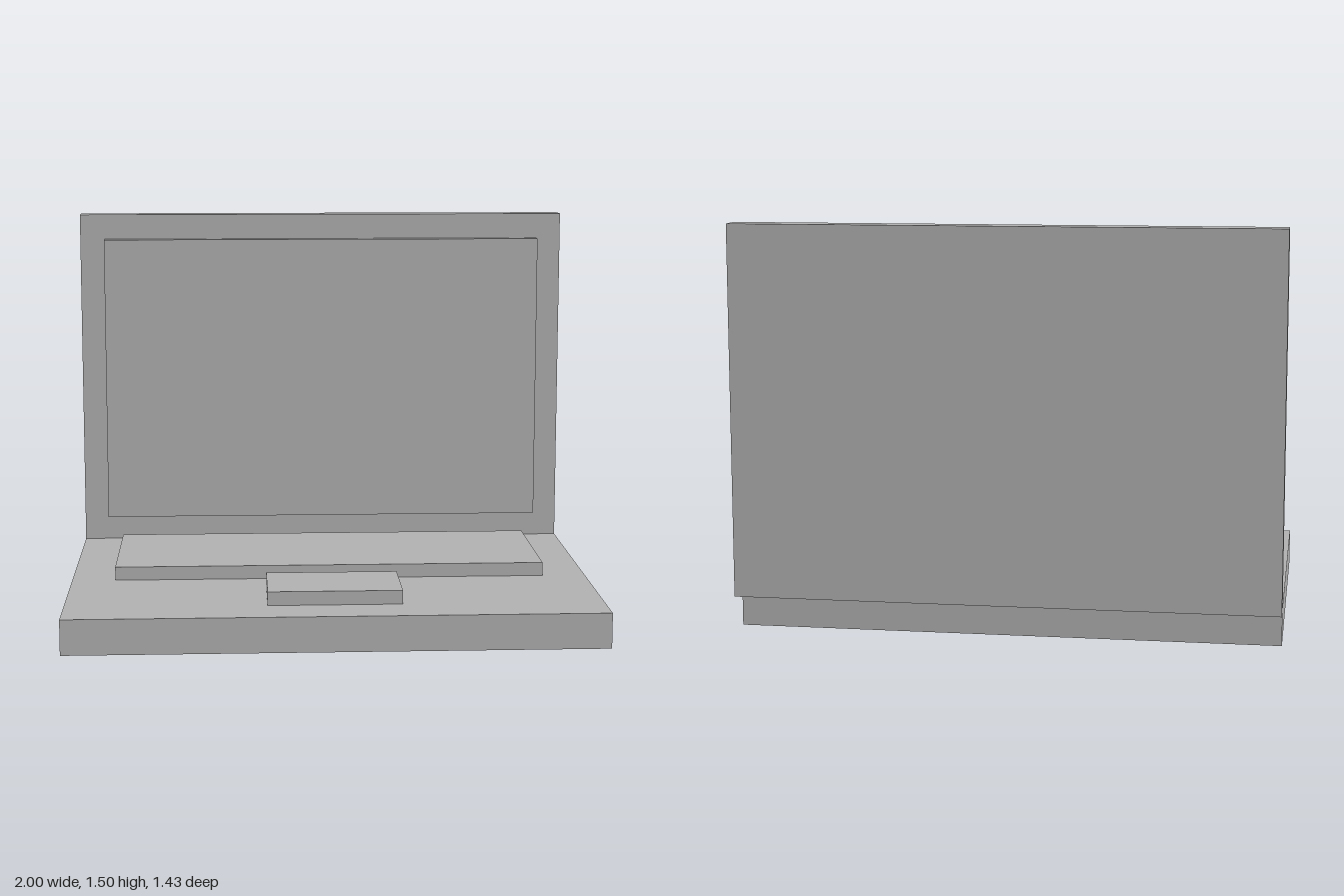
import * as THREE from 'three';

export function createModel() {
  const model = new THREE.Group();
  model.name = 'laptop';
  const grey = new THREE.MeshStandardMaterial({ color: 0xb2b2b2 });
  grey.name = 'plain grey';

  // Box given by its lower and upper bounds on each axis
  function addBox(name, [x0, x1], [y0, y1], [z0, z1]) {
    const mesh = new THREE.Mesh(new THREE.BoxGeometry(x1 - x0, y1 - y0, z1 - z0), grey);
    mesh.position.set((x0 + x1) / 2, (y0 + y1) / 2, (z0 + z1) / 2);
    mesh.name = name;
    model.add(mesh);
  }

  const deck = 0.133; // top of the base
  const hinge = -0.617; // front of the lid, back of the base

  // Lower half
  addBox('base', [-1, 1], [0, deck], [hinge, 0.717]);
  addBox('keyboard', [-0.833, 0.833], [deck, 0.185], [-0.45, 0.132]);
  addBox('trackpad', [-0.25, 0.25], [deck, 0.185], [0.25, 0.55]);

  // Upright lid behind the base, with a raised screen
  addBox('lid', [-1, 1], [deck, 1.503], [-0.717, hinge]);
  addBox('screen', [-0.9, 0.9], [0.236, 1.402], [hinge, -0.567]);

  return model;
}
